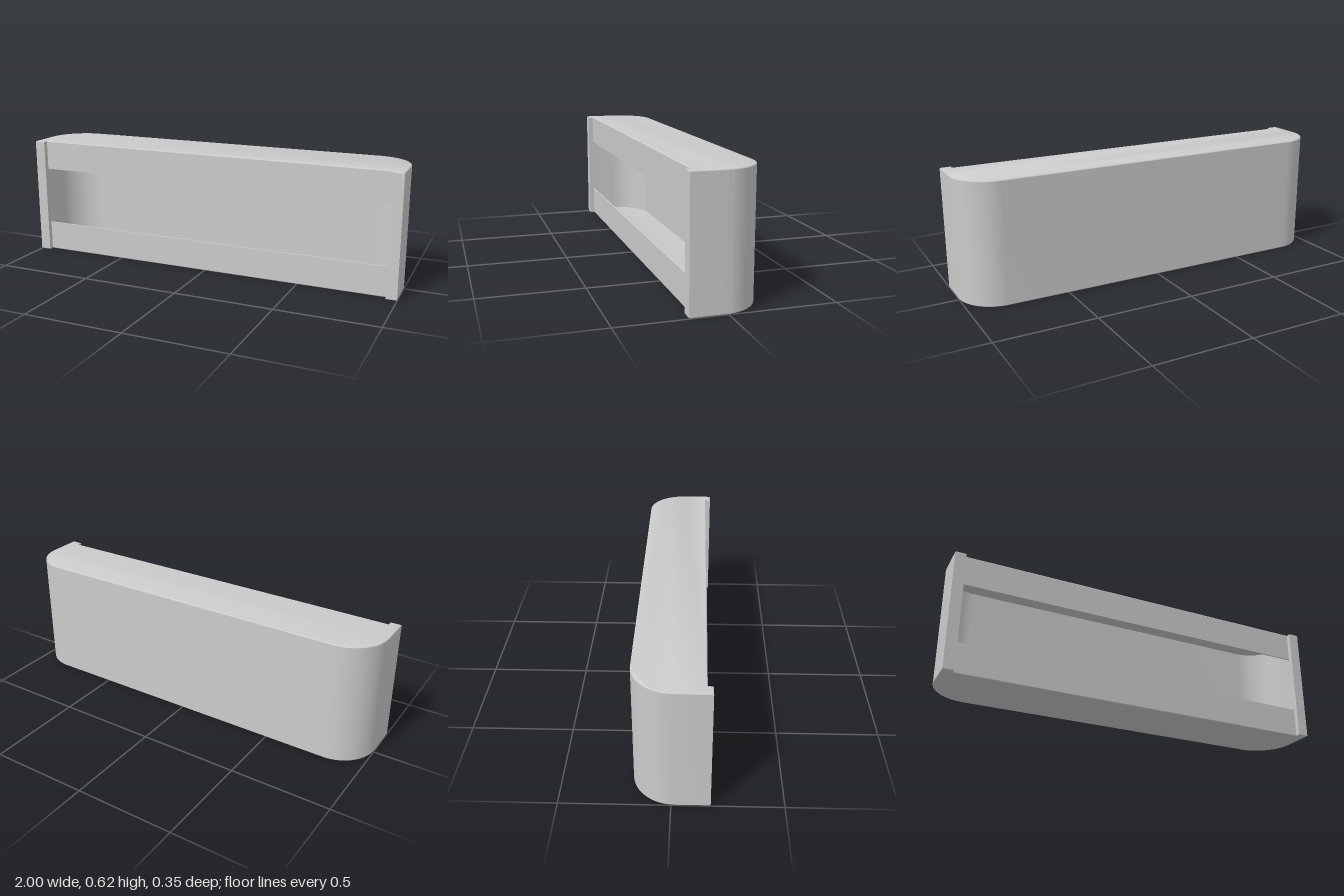
import * as THREE from 'three';
import { toCreasedNormals } from 'three/addons/utils/BufferGeometryUtils.js';

const H = 0.615;       // height
const BACK = -0.175;   // back face
const FRONT = 0.175;   // front of the end posts
const PANEL = 0.15;    // front of the recessed panel
const POST = 0.945;    // inner edge of the end posts
const R = 0.19;        // radius of the back corners
const T = 0.01;        // wall thickness
const BEVEL = 0.006;   // rounding of the top and bottom rims

// Plan shapes are drawn with shape y = -z; extrusion then runs up y.
function extrudeUp(shape, y, depth, bevel = 0) {
  const g = new THREE.ExtrudeGeometry(shape, {
    depth, curveSegments: 24,
    bevelEnabled: bevel > 0, bevelThickness: bevel, bevelSize: bevel,
    bevelOffset: -bevel, bevelSegments: 4,
  });
  g.rotateX(-Math.PI / 2);
  g.translate(0, y, 0);
  return toCreasedNormals(g, 0.6);
}

// Right side, rounded back and left side of the plan, starting at the front right
function addRoundedBack(shape) {
  const cy = -BACK - R;
  shape.lineTo(1, -FRONT);
  shape.lineTo(1, cy);
  shape.absarc(1 - R, cy, R, 0, Math.PI / 2, false);
  shape.absarc(R - 1, cy, R, Math.PI / 2, Math.PI, false);
  shape.lineTo(-1, -FRONT);
}

// Full plan, notched between the posts
function plateShape() {
  const s = new THREE.Shape();
  s.moveTo(POST, -PANEL);
  s.lineTo(POST, -FRONT);
  addRoundedBack(s);
  s.lineTo(-POST, -FRONT);
  s.lineTo(-POST, -PANEL);
  s.closePath();
  return s;
}

// Thin wrap-around wall with a post at each front end
function wallShape() {
  const s = new THREE.Shape();
  const cy = -BACK - R, r = R - T;
  s.moveTo(POST, -PANEL);
  s.lineTo(POST, -FRONT);
  addRoundedBack(s);
  s.lineTo(-POST, -FRONT);
  s.lineTo(-POST, -PANEL);
  s.lineTo(T - 1, -PANEL);
  s.lineTo(T - 1, cy);
  s.absarc(R - 1, cy, r, Math.PI, Math.PI / 2, true);
  s.absarc(1 - R, cy, r, Math.PI / 2, 0, true);
  s.lineTo(1 - T, -PANEL);
  s.closePath();
  return s;
}

export function createModel() {
  const group = new THREE.Group();
  const material = new THREE.MeshStandardMaterial({ color: 0xcccccc });
  const add = (name, geometry) => {
    const mesh = new THREE.Mesh(geometry, material);
    mesh.name = name;
    group.add(mesh);
    return mesh;
  };

  // Wall with end posts
  add('wallAndEndPosts', extrudeUp(wallShape(), BEVEL, H - 2 * BEVEL));

  // Bottom and top plates with rounded rims
  const rim = 0.001;
  add('bottomPlate', extrudeUp(plateShape(), BEVEL, rim, BEVEL));
  add('topPlate', extrudeUp(plateShape(), H - BEVEL - rim, rim, BEVEL));

  // Front strips above and below the opening
  for (const [name, y0, y1] of [['lowerFrontStrip', BEVEL, 0.155], ['upperFrontStrip', 0.46, H - BEVEL]]) {
    const strip = add(name, new THREE.BoxGeometry(2 * (1 - T), y1 - y0, 0.008));
    strip.position.set(0, (y0 + y1) / 2, PANEL - 0.004);
  }
  return group;
}
